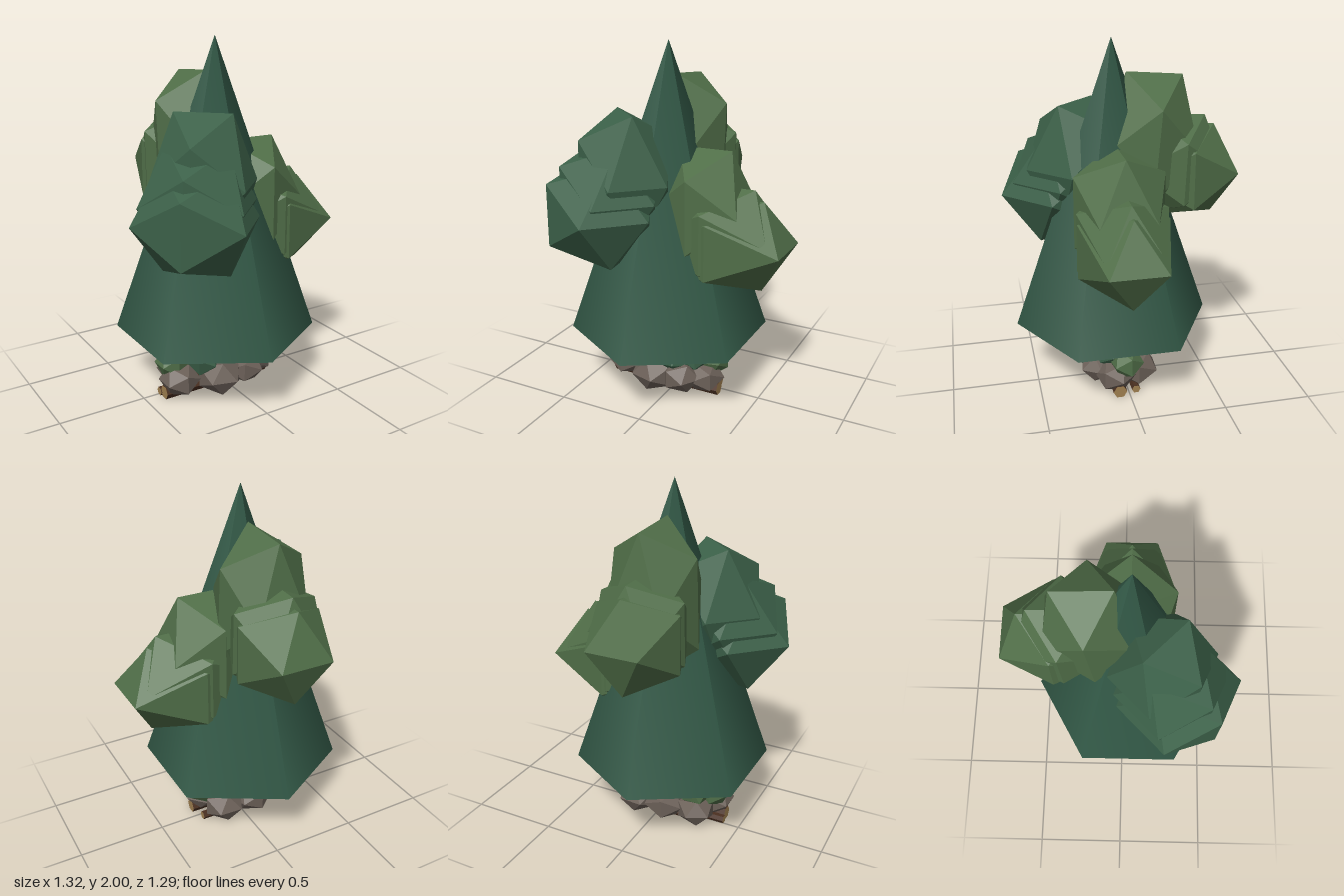
import * as THREE from 'three';

const mat = (color) => new THREE.MeshStandardMaterial({ color, flatShading: true });
const pine = new THREE.MeshStandardMaterial({ color: 0x325846 });
const green = mat(0x3c6149), olive = mat(0x506e48), rock = mat(0x6b6058);
const bark = mat(0x4a2f20), wood = mat(0xa08050);

// One faceted clump: centre, radius, rotation and stretch
function clump(parent, name, material, [x, y, z], r, rot = [0, 0, 0], stretch = [1, 1, 1]) {
  const m = new THREE.Mesh(new THREE.IcosahedronGeometry(r, 0), material);
  m.name = name;
  m.position.set(x, y, z);
  m.rotation.set(...rot);
  m.scale.set(...stretch);
  parent.add(m);
}

function addGroup(parent, name) {
  const g = new THREE.Group();
  g.name = name;
  parent.add(g);
  return g;
}

export function createModel() {
  const model = new THREE.Group();
  model.name = 'tree';

  // Six-sided cone crown
  const cone = new THREE.Mesh(new THREE.ConeGeometry(0.565, 1.63, 6), pine);
  cone.name = 'coneCrown';
  cone.position.set(-0.05, 1.185, 0.04);
  model.add(cone);

  // Left foliage: tall inner clump stepping down to a wide outer one
  const left = addGroup(model, 'leftFoliage');
  [
    [0.17, 1.115, 1, 1.31], [0.25, 0.98, 1.36, 1.07], [0.28, 0.94, 1.5, 1],
  ].forEach(([x, y, sx, sy]) => clump(left, 'leftClump', olive, [x, y, 0.04], 0.294, [0, 0, 0], [sx, sy, 1]));

  // Back foliage
  const back = addGroup(model, 'backFoliage');
  [
    [1.4, -0.165, -0.08, 1, 1.6], [1.29, -0.32, -0.04, 1, 1.1], [1.25, -0.37, 0, 1.1, 1.02],
  ].forEach(([y, z, tilt, sx, sy]) =>
    clump(back, 'backClump', olive, [-0.05, y, z], 0.298, [tilt, Math.PI / 2, 0], [sx, sy, 0.94]));

  // Front right foliage
  const front = addGroup(model, 'frontRightFoliage');
  [
    [-0.225, 1.27, 0.21, 0.298, 1.43], [-0.29, 1.18, 0.265, 0.32, 1.08], [-0.325, 1.1, 0.305, 0.345, 0.95],
  ].forEach(([x, y, z, r, sy]) =>
    clump(front, 'frontRightClump', green, [x, y, z], r, [0, -Math.PI / 4, 0], [1, sy, 1]));

  // Undergrowth beneath the cone
  const bushes = addGroup(model, 'bushes');
  [
    [olive, -0.33, 0.2, 0.03, 0.1], [olive, 0.22, 0.2, 0.01, 0.1],
    [olive, 0.1, 0.32, 0.05, 0.12], [green, -0.17, 0.32, 0.1, 0.12],
    [green, -0.18, 0.22, 0.12, 0.1], [green, 0.03, 0.22, 0.12, 0.11],
    [green, -0.07, 0.27, -0.04, 0.12], [olive, 0.05, 0.24, -0.06, 0.1],
    [green, 0.13, 0.23, 0.08, 0.1], [olive, -0.24, 0.22, -0.05, 0.1],
    [green, -0.04, 0.36, -0.1, 0.08],
  ].forEach(([m, x, y, z, r], i) => clump(bushes, 'bush', m, [x, y, z], r, [i * 0.7, i * 1.1, i * 0.4]));

  // Squat rocks round the foot
  const rocks = addGroup(model, 'rocks');
  [
    [-0.31, 0.11, 0.08, 0.12], [-0.09, 0.11, 0.15, 0.14], [0.08, 0.12, 0.15, 0.12],
    [0.19, 0.11, 0.07, 0.12], [-0.25, 0.1, -0.06, 0.12], [-0.06, 0.11, -0.08, 0.13],
    [0.12, 0.1, -0.07, 0.13],
  ].forEach(([x, y, z, r], i) => clump(rocks, 'rock', rock, [x, y, z], r, [0, i * 1.3, 0], [1, 0.8, 1]));

  // Fallen logs lying along x, with pale cut ends
  const logs = addGroup(model, 'logs');
  [[-0.06, 0.06, 0.04, 0.68], [-0.13, 0.01, 0.025, 0.55], [0, -0.04, 0.025, 0.5]].forEach(([x, z, r, length]) => {
    const log = new THREE.Mesh(new THREE.CylinderGeometry(r, r, length, 6), [bark, wood, wood]);
    log.name = 'log';
    log.rotation.z = -Math.PI / 2;
    log.position.set(x, r, z);
    logs.add(log);
  });

  return model;
}
